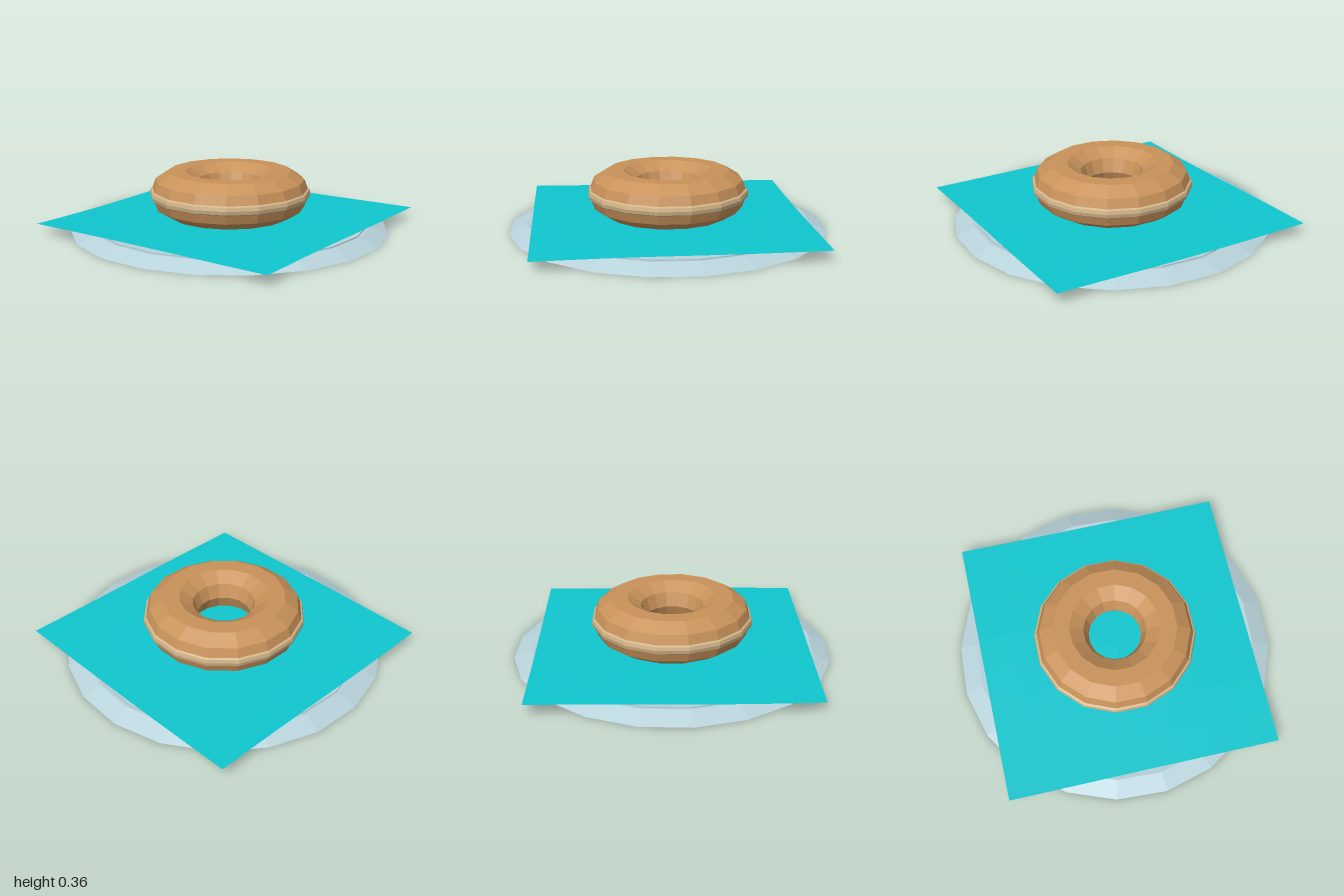
import * as THREE from 'three';

const flat = (name, color, side = THREE.FrontSide) => {
  const m = new THREE.MeshStandardMaterial({ color, flatShading: true, side });
  m.name = name;
  return m;
};

export function createModel() {
  const group = new THREE.Group();
  const ceramic = flat('pale blue ceramic', 0xb8d2da);
  const cloth = flat('turquoise cloth', 0x0fc6ce, THREE.DoubleSide);
  const dough = flat('golden dough', 0xc8925a);
  const pale = flat('pale dough', 0xd2b488);

  const add = (name, geometry, material) => {
    const mesh = new THREE.Mesh(geometry, material);
    mesh.name = name;
    group.add(mesh);
  };
  const lathe = (points, sides) =>
    new THREE.LatheGeometry(points.map(([r, y]) => new THREE.Vector2(r, y)), sides);

  // Plate: sloping rim with a slightly raised flat top
  add('plate', lathe([[0, 0], [0.99, 0], [0.88, 0.05], [0.86, 0.048], [0.86, 0.055], [0, 0.055]], 20), ceramic);

  // Napkin: a square sheet turned a little, with shallow ripples
  const sheet = new THREE.PlaneGeometry(1.686, 1.686, 8, 8).rotateX(-Math.PI / 2).rotateY(0.21);
  const p = sheet.attributes.position;
  for (let i = 0; i < p.count; i++) {
    const x = p.getX(i), z = p.getZ(i);
    p.setY(i, 0.07 + 0.004 * Math.sin(3.1 * x + 1.2 * z + 0.4) + 0.003 * Math.cos(4.3 * z - x));
  }
  sheet.computeVertexNormals();
  add('napkin', sheet, cloth);

  // Doughnut: ten-sided ring section, slightly flattened
  const section = [];
  for (let i = 0; i <= 10; i++) {
    const a = (i / 10) * Math.PI * 2;
    section.push([0.33 + 0.167 * Math.cos(a), 0.222 + 0.145 * Math.sin(a)]);
  }
  add('doughnut', lathe(section, 16), dough);

  // Pale line around the doughnut's waist
  add('paleBand', lathe([[0.478, 0.188], [0.498, 0.2], [0.503, 0.222], [0.498, 0.244], [0.478, 0.256]], 16), pale);

  return group;
}
